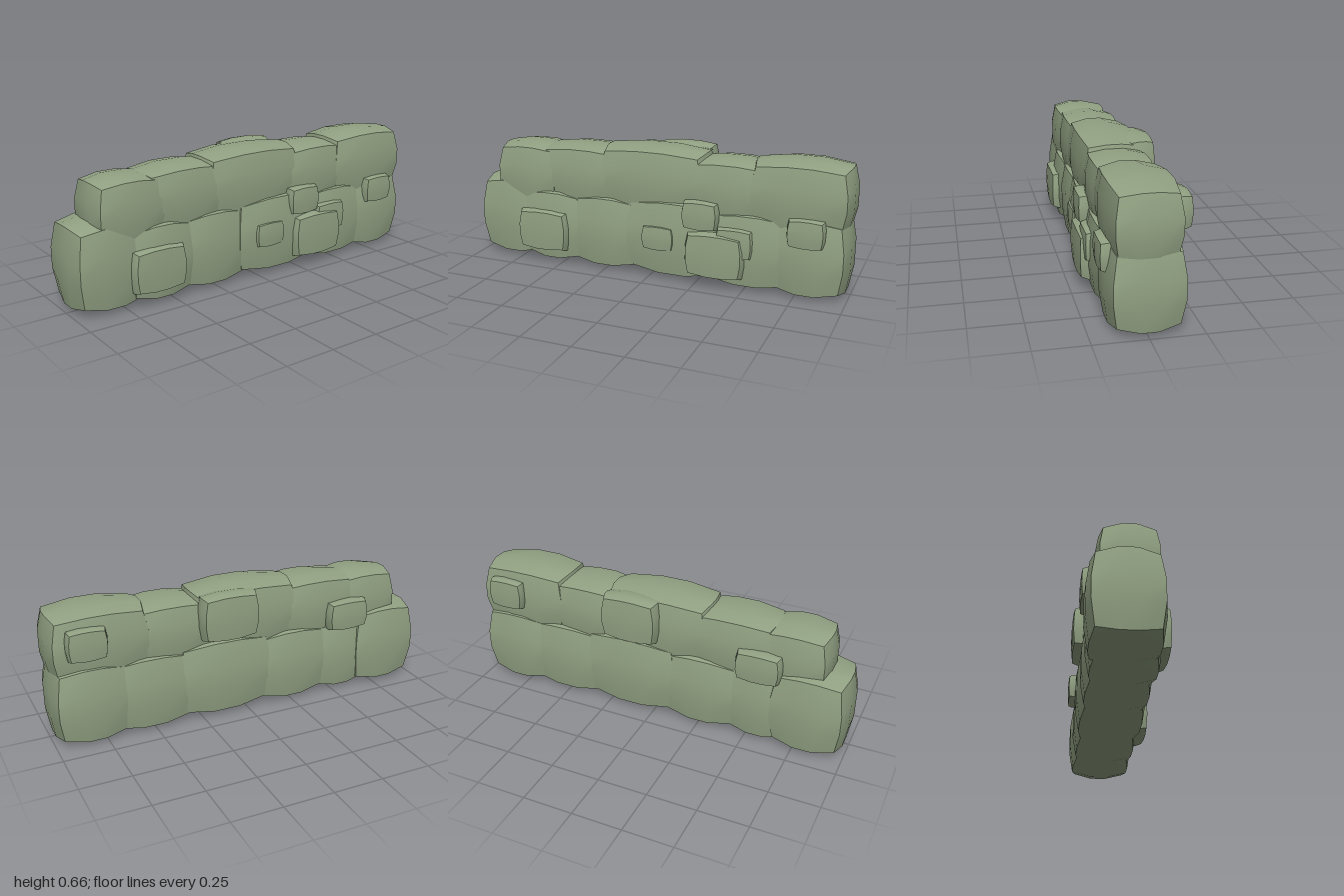
import * as THREE from 'three';

const material = new THREE.MeshStandardMaterial({ color: 0x92a283 });

// A bulging stone given by its outer limits: the edges and corners are drawn in, face centres stay out
function stone(name, [x0, x1, y0, y1, z0, z1], inset = 0.1) {
  const half = new THREE.Vector3(x1 - x0, y1 - y0, z1 - z0).multiplyScalar(0.5);
  const geo = new THREE.BoxGeometry(2, 2, 2, 3, 3, 3);
  const pos = geo.attributes.position;
  for (let i = 0; i < pos.count; i++) {
    const p = new THREE.Vector3().fromBufferAttribute(pos, i);
    const extremes = [p.x, p.y, p.z].filter((v) => Math.abs(v) > 0.9).length;
    p.multiply(half);
    const pull = 0.2 * inset * (extremes - 1);
    p.x -= Math.sign(p.x) * Math.min(pull, half.x * inset * (extremes - 1));
    p.y -= Math.sign(p.y) * Math.min(pull, half.y * inset * (extremes - 1));
    p.z -= Math.sign(p.z) * Math.min(pull, half.z * inset * (extremes - 1));
    pos.setXYZ(i, p.x, p.y, p.z);
  }
  geo.computeVertexNormals(); // smooth within each face, sharp at the edges
  const mesh = new THREE.Mesh(geo, material);
  mesh.name = name;
  mesh.position.set((x0 + x1) / 2, (y0 + y1) / 2, (z0 + z1) / 2);
  return mesh;
}

// Limits of each stone: x0, x1, y0, y1, z0, z1
const courses = {
  lowerStone: [
    [-1, -0.61, 0.005, 0.435, -0.19, 0.155],
    [-0.74, -0.37, 0.005, 0.4, -0.17, 0.17],
    [-0.47, -0.04, 0.005, 0.4, -0.175, 0.165],
    [-0.14, 0.39, 0.01, 0.42, -0.18, 0.175],
    [0.27, 0.75, 0.005, 0.4, -0.175, 0.17],
    [0.61, 1, 0, 0.41, -0.182, 0.17],
  ],
  upperStone: [
    [-0.885, -0.52, 0.3, 0.625, -0.145, 0.15],
    [-0.63, -0.16, 0.33, 0.635, -0.15, 0.145],
    [-0.29, 0.285, 0.33, 0.662, -0.155, 0.15],
    [0.17, 0.62, 0.33, 0.632, -0.15, 0.15],
    [0.5, 1, 0.32, 0.66, -0.16, 0.16],
  ],
  frontStone: [
    [-0.735, -0.45, 0.07, 0.29, 0.1, 0.2],
    [-0.03, 0.145, 0.155, 0.285, 0.1, 0.187],
    [0.185, 0.37, 0.29, 0.435, 0.1, 0.192],
    [0.205, 0.51, 0.055, 0.285, 0.1, 0.21],
    [0.36, 0.55, 0.165, 0.32, 0.1, 0.192],
    [0.71, 0.893, 0.265, 0.408, 0.1, 0.193],
  ],
  backStone: [
    [-0.675, -0.445, 0.355, 0.51, -0.2, -0.1],
    [-0.04, 0.265, 0.42, 0.657, -0.21, -0.08],
    [0.73, 0.925, 0.447, 0.602, -0.2, -0.12],
  ],
};

export function createModel() {
  const wall = new THREE.Group();
  wall.name = 'stoneWall';
  for (const [name, stones] of Object.entries(courses)) {
    const course = new THREE.Group();
    course.name = name + 's';
    stones.forEach((limits, i) => course.add(stone(`${name}${i + 1}`, limits, name.startsWith('front') || name.startsWith('back') ? 0.08 : 0.1)));
    wall.add(course);
  }
  return wall;
}
